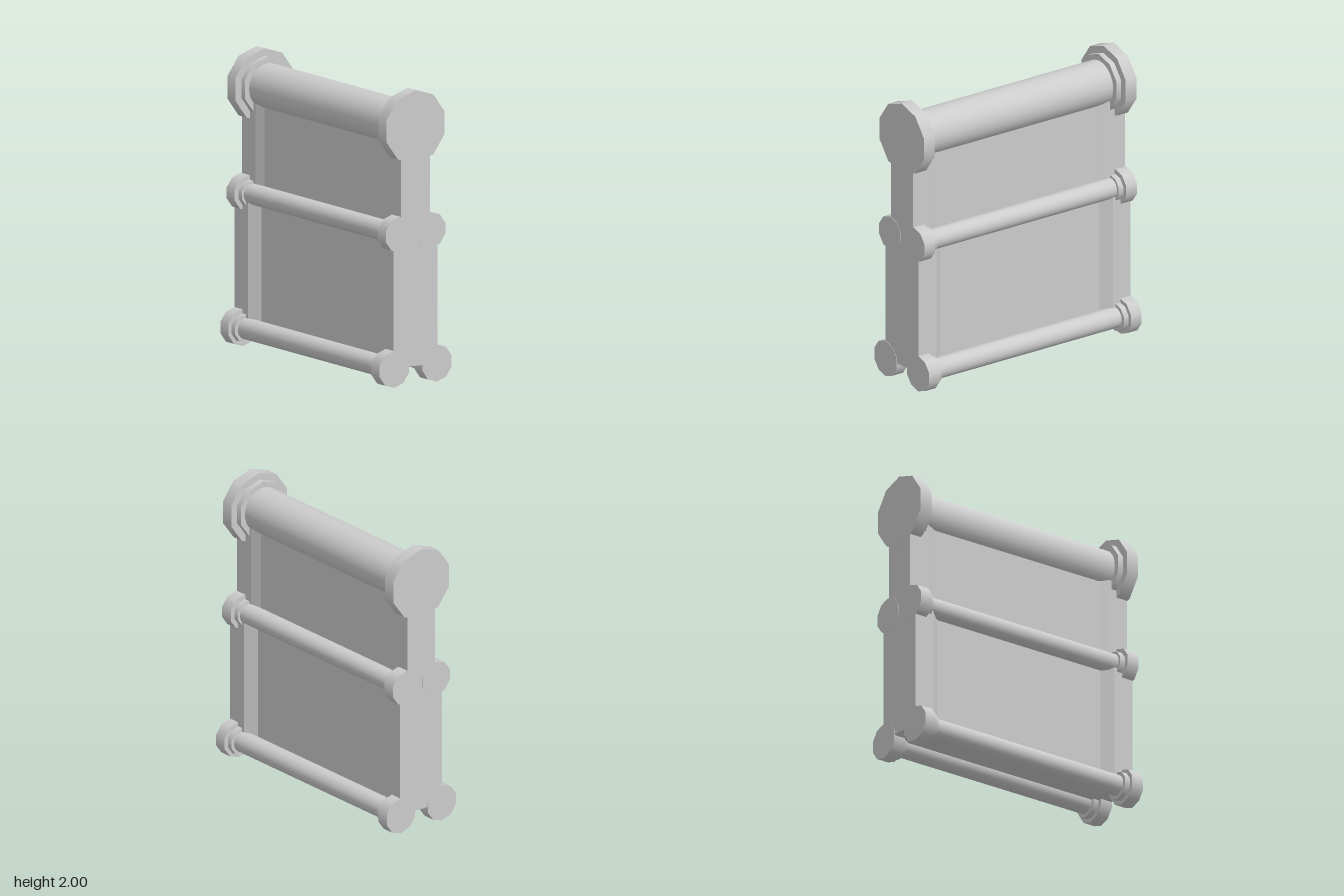
import * as THREE from 'three';

const material = new THREE.MeshStandardMaterial({ color: 0xcccccc });

function add(parent, name, geometry) {
  const mesh = new THREE.Mesh(geometry, material);
  mesh.name = name;
  parent.add(mesh);
  return mesh;
}

// Cylinder lying along x with one vertex pointing up
function bar(radius, x0, x1, sides) {
  return new THREE.CylinderGeometry(radius, radius, x1 - x0, sides)
    .rotateZ(Math.PI / 2)
    .rotateX(-Math.PI / 2)
    .translate((x0 + x1) / 2, 0, 0);
}

// Roller with a stepped, ten-sided cap on both ends
function rail(name, y, z, rodRadius, stepRadius, capRadius) {
  const group = new THREE.Group();
  group.name = name;
  group.position.set(0, y, z);
  add(group, 'rod', bar(rodRadius, -0.79, 0.79, 32));
  for (const [side, s] of [['left', 1], ['right', -1]]) {
    const span = (a, b) => (s > 0 ? [a, b] : [-b, -a]);
    add(group, side + 'CapStep', bar(stepRadius, ...span(0.765, 0.81), 10));
    add(group, side + 'Cap', bar(capRadius, ...span(0.805, 0.895), 10));
  }
  return group;
}

// Wall section: thick posts at the ends, chamfered into a thinner panel
function wall(postHalf, panelHalf, y0, y1) {
  const edge = [[0.893, postHalf], [0.745, postHalf], [0.67, panelHalf]];
  const front = [...edge, ...edge.map(([x, z]) => [-x, z]).reverse()];
  const outline = [...front, ...front.map(([x, z]) => [x, -z]).reverse()];
  const shape = new THREE.Shape(outline.map(([x, z]) => new THREE.Vector2(x, z)));
  return new THREE.ExtrudeGeometry(shape, { depth: y1 - y0, bevelEnabled: false })
    .rotateX(-Math.PI / 2)
    .translate(0, y0, 0);
}

export function createModel() {
  const model = new THREE.Group();
  model.name = 'barrier';

  add(model, 'lowerWall', wall(0.18, 0.122, 0.13, 1.03));
  add(model, 'upperWall', wall(0.118, 0.097, 1.03, 1.75));

  model.add(rail('topRail', 1.75, 0, 0.155, 0.2, 0.25));
  for (const [side, s] of [['front', 1], ['back', -1]]) {
    model.add(rail(side + 'MiddleRail', 1.035, s * 0.128, 0.07, 0.09, 0.122));
    model.add(rail(side + 'BottomRail', 0.128, s * 0.176, 0.072, 0.098, 0.126));
  }
  return model;
}
